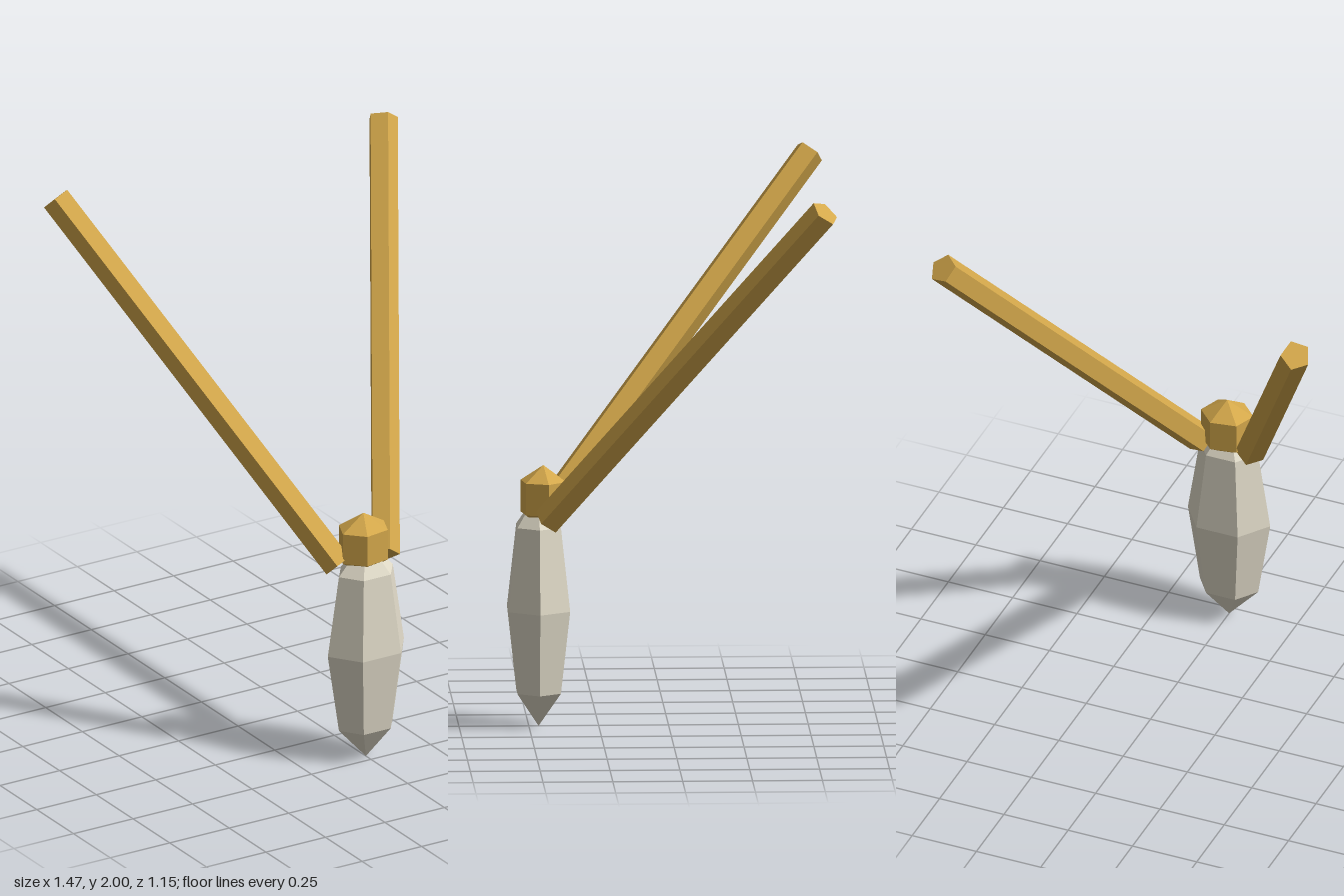
import * as THREE from 'three';

const gold = new THREE.MeshStandardMaterial({ color: 0xd4a84b, flatShading: true });
gold.name = 'gold';
const ivory = new THREE.MeshStandardMaterial({ color: 0xe0dac8, flatShading: true });
ivory.name = 'ivory';

function addPart(group, name, geometry, material) {
  const mesh = new THREE.Mesh(geometry, material);
  mesh.name = name;
  group.add(mesh);
  return mesh;
}

// Five-sided rod between two points, rolled about its own axis
function addCord(group, name, from, to, roll) {
  const span = to.clone().sub(from);
  const geometry = new THREE.CylinderGeometry(0.055, 0.055, span.length(), 5).rotateY(roll);
  const cord = addPart(group, name, geometry, gold);
  cord.position.copy(from).add(to).multiplyScalar(0.5);
  cord.quaternion.setFromUnitVectors(new THREE.Vector3(0, 1, 0), span.normalize());
}

export function createModel() {
  const group = new THREE.Group();
  group.name = 'pendant';

  // Hanging faceted tooth
  const tooth = addPart(group, 'tooth', new THREE.SphereGeometry(1, 6, 4), ivory);
  tooth.scale.set(0.16, 0.425, 0.127);
  tooth.position.set(0, 0.425, 0.465);

  // Faceted bead capping the tooth
  const beadShape = new THREE.SphereGeometry(1, 6, 3).rotateY(THREE.MathUtils.degToRad(10.7));
  const bead = addPart(group, 'bead', beadShape, gold);
  bead.scale.set(0.112, 0.115, 0.098);
  bead.position.set(0, 0.83, 0.448);

  // Two cords spreading up and back
  for (const [name, side, roll] of [['leftCord', 1, -10], ['rightCord', -1, 187.5]]) {
    addCord(group, name,
      new THREE.Vector3(side * 0.097, 0.757, 0.435),
      new THREE.Vector3(side * 0.686, 1.964, -0.534),
      THREE.MathUtils.degToRad(roll));
  }
  return group;
}
